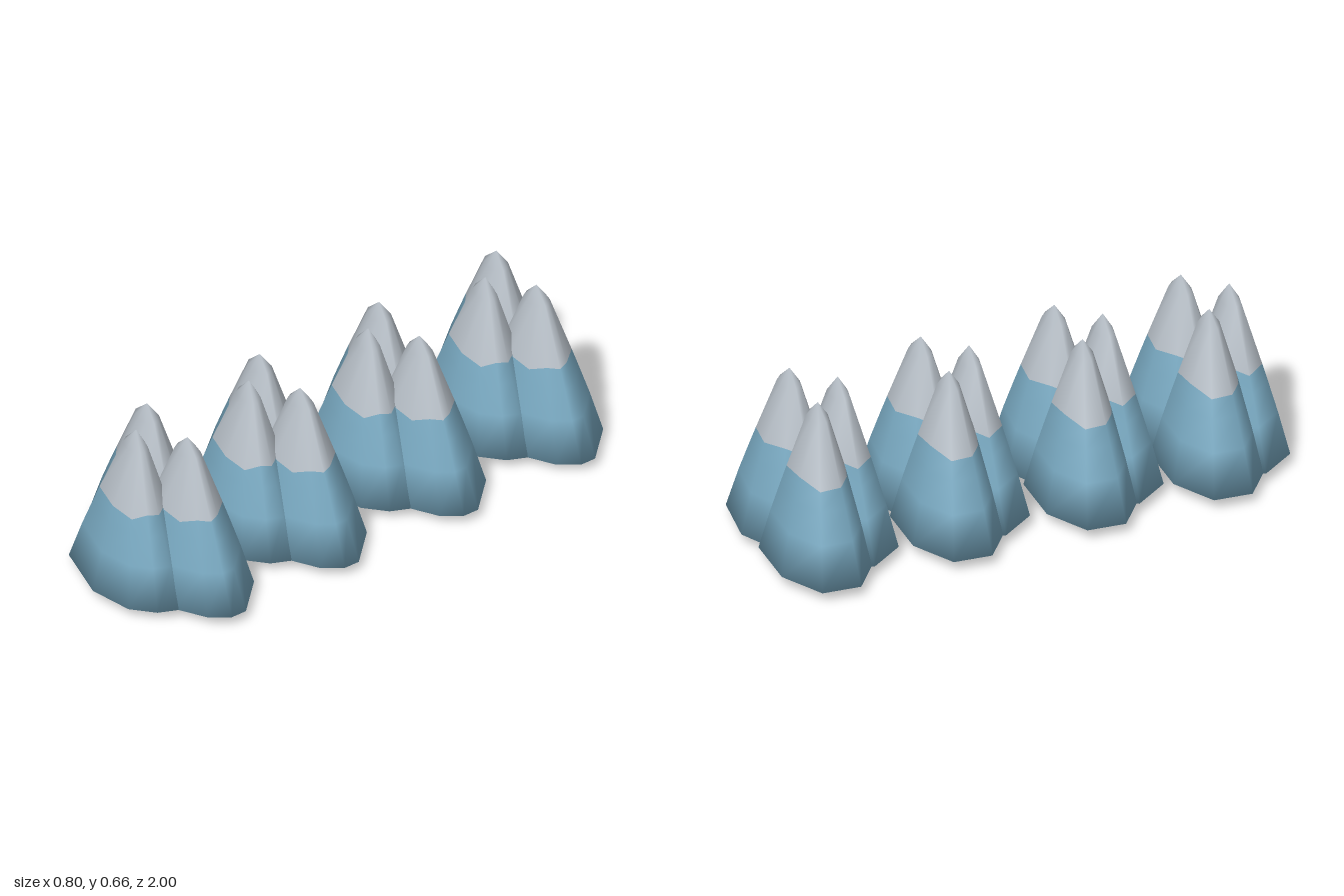
import * as THREE from 'three';

const rock = new THREE.MeshStandardMaterial({ color: 0x78a8c0 });
rock.name = 'blue rock';
const snow = new THREE.MeshStandardMaterial({ color: 0xb8c0c8 });
snow.name = 'pale snow';

// Footprint corners around each tip (x, z), ordered from +x through +z.
const PEAKS = [
  { name: 'leftPeak', x: 0.12, z: 0, height: 0.653, keel: 0.006, foot: [
    [0.28, 0.01], [0.23, 0.08], [0.125, 0.145], [-0.04, 0.18], [-0.2, 0.13],
    [-0.27, 0.01], [-0.2, -0.12], [-0.04, -0.2], [0.16, -0.17], [0.28, -0.05]] },
  { name: 'rightPeak', x: -0.12, z: 0, height: 0.65, keel: 0, foot: [
    [0.26, 0.03], [0.15, 0.13], [-0.02, 0.18], [-0.17, 0.13],
    [-0.28, 0.04], [-0.265, -0.1], [-0.11, -0.185], [0.1, -0.18], [0.22, -0.08]] },
  { name: 'frontPeak', x: -0.01, z: 0.125, height: 0.66, keel: 0.01, foot: [
    [0.27, 0.01], [0.24, 0.08], [0.165, 0.15], [0.01, 0.19], [-0.205, 0.14],
    [-0.29, 0.01], [-0.2, -0.12], [-0.02, -0.18], [0.17, -0.13]] },
];

// Rings from the rim upward: height and share of the footprint.
const RINGS = [[0.045, 1], [0.2, 0.8], [0.31, 0.64], [0.38, 0.535], [0.595, 0.2]];
const SNOW_RING = 3;

// Irregular tapering cone with a shallow keel underneath and a wavy snow line.
function peakGeometry({ foot, height, keel }) {
  const n = foot.length;
  const pos = [];
  RINGS.forEach(([y, share], r) => foot.forEach(([x, z], i) => {
    const lift = r === SNOW_RING ? 0.01 * Math.sin(i * 2.3) - 0.05 * z : 0;
    const s = share - lift * 1.55;
    pos.push(x * s, y + lift, z * s);
  }));
  const bottom = RINGS.length * n, tip = bottom + 1;
  pos.push(0, keel, 0, 0, height, 0);

  const lower = [], upper = [];
  for (let i = 0; i < n; i++) {
    const j = (i + 1) % n;
    lower.push(bottom, i, j);
    for (let r = 0; r < RINGS.length - 1; r++) {
      const a = r * n + i, b = r * n + j;
      (r < SNOW_RING ? lower : upper).push(a, a + n, b, a + n, b + n, b);
    }
    const top = (RINGS.length - 1) * n;
    upper.push(top + i, tip, top + j);
  }
  const geo = new THREE.BufferGeometry();
  geo.setAttribute('position', new THREE.Float32BufferAttribute(pos, 3));
  geo.setIndex([...lower, ...upper]);
  geo.addGroup(0, lower.length, 0);
  geo.addGroup(lower.length, upper.length, 1);
  geo.computeVertexNormals();
  return geo;
}

export function createModel() {
  const model = new THREE.Group();
  model.name = 'mountainRange';
  const geometries = PEAKS.map(peakGeometry);

  // Four three-peaked mountains in a row from front to back.
  [0.685, 0.205, -0.302, -0.8].forEach((z, k) => {
    const mountain = new THREE.Group();
    mountain.name = `mountain${k + 1}`;
    mountain.position.z = z;
    PEAKS.forEach((p, i) => {
      const mesh = new THREE.Mesh(geometries[i], [rock, snow]);
      mesh.name = p.name;
      mesh.position.set(p.x, 0, p.z);
      mountain.add(mesh);
    });
    model.add(mountain);
  });
  return model;
}
